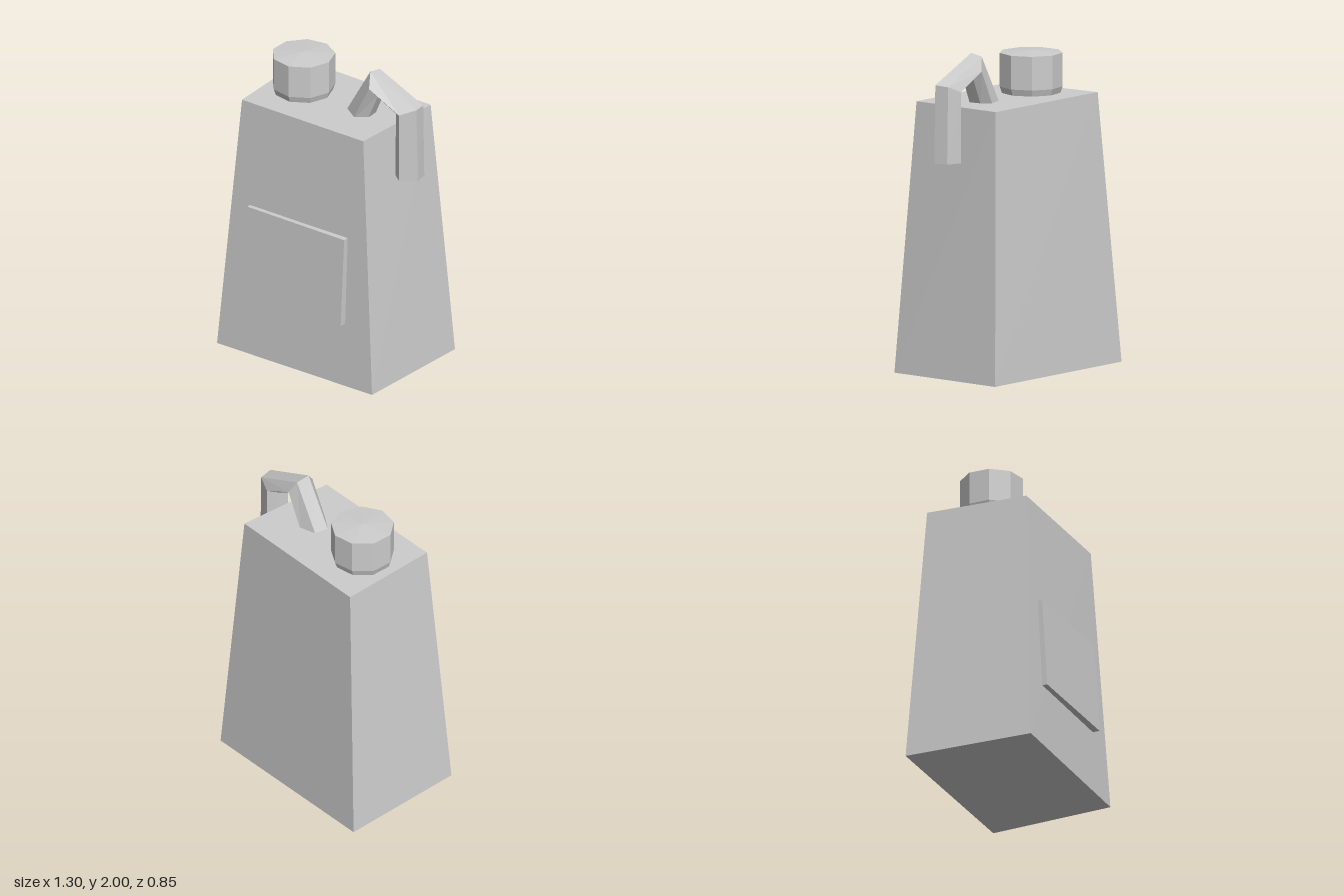
import * as THREE from 'three';

const metal = new THREE.MeshStandardMaterial({ color: 0xcccccc, flatShading: true });
metal.name = 'light grey';

// Closed solid through matching rings of [x, y, z] corners
function loft(rings) {
  const n = rings[0].length;
  const index = [];
  for (let r = 0; r < rings.length - 1; r++) {
    for (let i = 0; i < n; i++) {
      const a = r * n + i, b = r * n + (i + 1) % n;
      index.push(a, b, b + n, a, b + n, a + n);
    }
  }
  const last = (rings.length - 1) * n;
  for (let i = 1; i < n - 1; i++) {
    index.push(0, i + 1, i);
    index.push(last, last + i, last + i + 1);
  }
  const geometry = new THREE.BufferGeometry();
  geometry.setAttribute('position', new THREE.Float32BufferAttribute(rings.flat(2), 3));
  geometry.setIndex(index);
  const flat = geometry.toNonIndexed();
  flat.computeVertexNormals();
  return flat;
}

export function createModel() {
  const group = new THREE.Group();
  const add = (name, geometry) => {
    const mesh = new THREE.Mesh(geometry, metal);
    mesh.name = name;
    group.add(mesh);
    return mesh;
  };

  // Tapered, slightly uneven can
  add('canBody', loft([
    [[-0.61, 0.005, 0.41], [0.575, 0.005, 0.39], [0.6, 0, -0.42], [-0.65, 0, -0.425]],
    [[-0.485, 1.69, 0.32], [0.45, 1.69, 0.315], [0.48, 1.69, -0.33], [-0.52, 1.69, -0.34]],
  ]));

  // Nine-sided screw cap with a low domed top
  const profile = [[0, 1.68], [0.18, 1.68], [0.197, 1.73], [0.197, 1.94], [0, 1.955]]
    .map(([r, y]) => new THREE.Vector2(r, y));
  add('screwCap', new THREE.LatheGeometry(profile, 9, Math.PI / 2))
    .position.set(-0.267, 0, -0.017);

  // Raised label plate, leaning with the front wall
  const plateRing = (y, front) => [
    [-0.395, y, front], [0.355, y, front], [0.355, y, front - 0.05], [-0.395, y, front - 0.05],
  ];
  add('labelPlate', loft([plateRing(0.425, 0.42), plateRing(1.005, 0.385)]));

  // Bent spout: each ring runs from an outer corner to an inner corner
  const bends = [
    [[0.09, 1.67], [0.27, 1.67]],
    [[0.28, 2.0], [0.35, 1.86]],
    [[0.637, 1.843], [0.49, 1.78]],
    [[0.647, 1.355], [0.485, 1.355]],
  ];
  // Section as [fraction from outer to inner, z]
  const section = [[0, 0.02], [0.58, 0.087], [1, 0.035], [0.97, -0.045], [0.7, -0.1], [0.1, -0.068]];
  add('spout', loft(bends.map(([outer, inner]) => section.map(([t, z]) => [
    THREE.MathUtils.lerp(outer[0], inner[0], t),
    THREE.MathUtils.lerp(outer[1], inner[1], t),
    z,
  ]))));

  return group;
}
